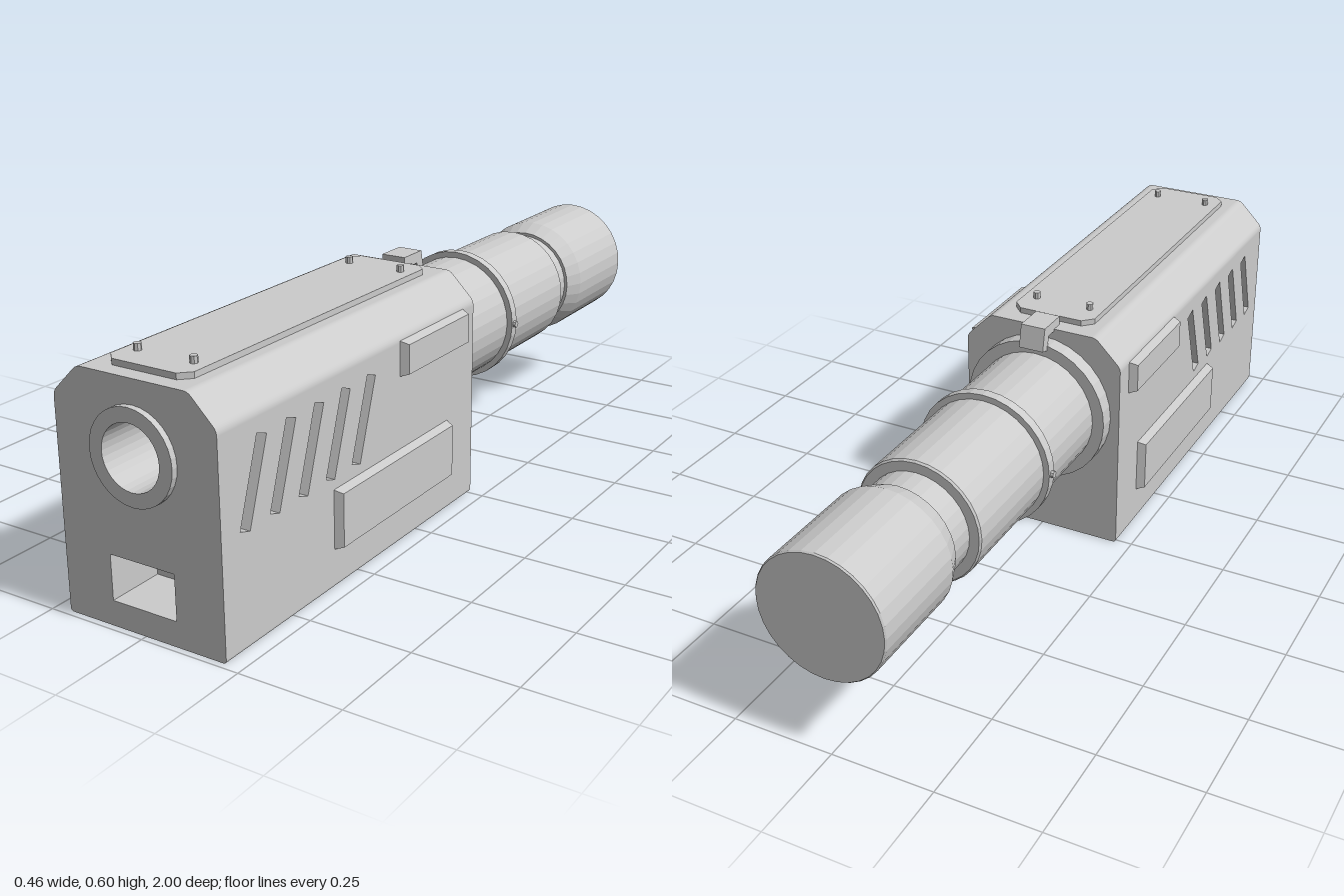
import * as THREE from 'three';

const material = new THREE.MeshStandardMaterial({ color: 0xcccccc, flatShading: true });

function add(parent, name, geometry, x = 0, y = 0, z = 0) {
  const mesh = new THREE.Mesh(geometry, material);
  mesh.name = name;
  mesh.position.set(x, y, z);
  parent.add(mesh);
  return mesh;
}

// Closed shape from [x, y, cornerRadius] points
function roundedShape(points) {
  const shape = new THREE.Shape();
  const n = points.length;
  points.forEach(([x, y, r = 0], i) => {
    const p = new THREE.Vector2(x, y);
    const toward = ([qx, qy]) => new THREE.Vector2(qx, qy).sub(p).setLength(r).add(p);
    const a = toward(points[(i + n - 1) % n]);
    const b = toward(points[(i + 1) % n]);
    if (i === 0) shape.moveTo(a.x, a.y);
    else shape.lineTo(a.x, a.y);
    if (r > 0) shape.quadraticCurveTo(x, y, b.x, b.y);
  });
  shape.closePath();
  return shape;
}

const polygon = (pts) => new THREE.Shape(pts.map(([x, y]) => new THREE.Vector2(x, y)));
const extrude = (shape, depth) =>
  new THREE.ExtrudeGeometry(shape, { depth, bevelEnabled: false, curveSegments: 16 });
const circle = (Type, y, r) => new Type().absarc(0, y, r, 0, Math.PI * 2, false);

const BORE_Y = 0.406, BORE_R = 0.075;
const FRONT = 0.985, BACK = -0.01;
const SLOT_DEPTH = 0.04, SLOT_LOW = 0.24, SLOT_HIGH = 0.475;

// Housing cross-section, notched on both sides where the slotted panels sit
function housingShape(withBore, withPort) {
  const inner = 0.21 - SLOT_DEPTH;
  const right = [
    [0.21, 0, 0.009], [0.21, SLOT_LOW], [inner, SLOT_LOW], [inner, SLOT_HIGH],
    [0.21, SLOT_HIGH], [0.21, 0.503, 0.012], [0.143, 0.57, 0.012],
  ];
  const left = right.map(([x, y, r]) => [-x, y, r]).reverse();
  const shape = roundedShape([...right, ...left]);
  if (withBore) shape.holes.push(circle(THREE.Path, BORE_Y, BORE_R));
  if (withPort) {
    shape.holes.push(polygon([[-0.085, 0.06], [-0.085, 0.167], [0.085, 0.167], [0.085, 0.06]]));
  }
  return shape;
}

// Side panel pierced by five slanted slots, drawn in (z, y)
function slottedPanel() {
  const shape = polygon([[BACK, SLOT_LOW], [FRONT, SLOT_LOW], [FRONT, SLOT_HIGH], [BACK, SLOT_HIGH]]);
  const axis = new THREE.Vector2(), centre = new THREE.Vector2();
  for (let i = 0; i < 5; i++) {
    centre.set(0.877 - i * 0.1, 0.357);
    const corners = [[-1, -1], [-1, 1], [1, 1], [1, -1]].map(([u, v]) => {
      axis.set(u * 0.017, v * 0.1).rotateAround(new THREE.Vector2(), 0.325).add(centre);
      return [axis.x, axis.y];
    });
    shape.holes.push(polygon(corners));
  }
  return extrude(shape, SLOT_DEPTH).rotateY(-Math.PI / 2);
}

// Raised plate whose outer face is slightly smaller than its base
function taperedPlate(side, y0, y1, z0, z1) {
  const h = y1 - y0, d = z1 - z0, t = 0.014;
  const geometry = new THREE.BoxGeometry(0.021, h, d);
  const pos = geometry.attributes.position;
  for (let i = 0; i < pos.count; i++) {
    if (pos.getX(i) * side > 0) {
      pos.setY(i, pos.getY(i) * (1 - t / h));
      pos.setZ(i, pos.getZ(i) * (1 - t / d));
    }
  }
  geometry.computeVertexNormals();
  return geometry.translate(side * 0.2205, (y0 + y1) / 2, (z0 + z1) / 2);
}

export function createModel() {
  const model = new THREE.Group();
  model.name = 'model';

  // Housing in three slices: port and bore, bore only, solid
  const housing = new THREE.Group();
  housing.name = 'housing';
  model.add(housing);
  const slices = [
    ['housingFront', 0.845, FRONT, true, true],
    ['housingMiddle', 0.685, 0.845, true, false],
    ['housingRear', BACK, 0.685, false, false],
  ];
  for (const [name, z0, z1, bore, port] of slices) {
    add(housing, name, extrude(housingShape(bore, port), z1 - z0), 0, 0, z0);
  }

  // Slotted panels and raised plates on both sides
  for (const side of [1, -1]) {
    const label = side > 0 ? 'left' : 'right';
    add(model, label + 'SlottedPanel', slottedPanel(), side > 0 ? 0.21 : -0.21 + SLOT_DEPTH);
    add(model, label + 'UpperPlate', taperedPlate(side, 0.411, 0.496, 0.043, 0.327));
    add(model, label + 'LowerPlate', taperedPlate(side, 0.092, 0.234, 0.113, 0.597));
  }

  // Ring around the bore
  const ring = circle(THREE.Shape, BORE_Y, 0.108);
  ring.holes.push(circle(THREE.Path, BORE_Y, BORE_R));
  add(model, 'boreRing', extrude(ring, 0.015), 0, 0, FRONT);

  // Top cover with clipped corners and four screws
  const w = 0.108, c = 0.025, z0 = 0.035, z1 = 0.945;
  const cover = polygon([
    [w, -z0 - c], [w - c, -z0], [c - w, -z0], [-w, -z0 - c],
    [-w, -z1 + c], [c - w, -z1], [w - c, -z1], [w, -z1 + c],
  ]);
  add(model, 'topCover', extrude(cover, 0.016).rotateX(-Math.PI / 2), 0, 0.568, 0);
  for (const x of [-0.073, 0.073]) {
    for (const z of [0.105, 0.878]) {
      add(model, 'coverScrew', new THREE.CylinderGeometry(0.009, 0.009, 0.024, 8), x, 0.588, z);
    }
  }

  // Latch hooked over the rear edge
  const latch = polygon([
    [0.02, 0.565], [0.02, 0.592], [-0.06, 0.592], [-0.072, 0.535], [-0.045, 0.528], [-0.04, 0.565],
  ]);
  add(model, 'latch', extrude(latch, 0.064).rotateY(-Math.PI / 2), 0.032);

  // Barrel profile as [radius, distance behind z = 0]
  const profile = [
    [0.187, 0.005], [0.187, 0.05], [0.157, 0.05],
    [0.157, 0.29], [0.172, 0.29], [0.172, 0.315], [0.157, 0.315],
    [0.157, 0.61], [0.153, 0.615], [0.129, 0.615], [0.129, 0.688],
    [0.137, 0.688], [0.157, 0.735], [0.157, 0.996], [0.154, 1], [0, 1],
  ].map(([r, d]) => new THREE.Vector2(r, d));
  const barrel = new THREE.LatheGeometry(profile, 32).rotateX(-Math.PI / 2);
  add(model, 'barrel', barrel, 0, 0.358, 0);

  // Small screws on the sides of the barrel band
  for (const x of [-0.17, 0.17]) {
    const screw = new THREE.CylinderGeometry(0.009, 0.009, 0.018, 8).rotateZ(Math.PI / 2);
    add(model, 'bandScrew', screw, x, 0.358, -0.302);
  }
  return model;
}
